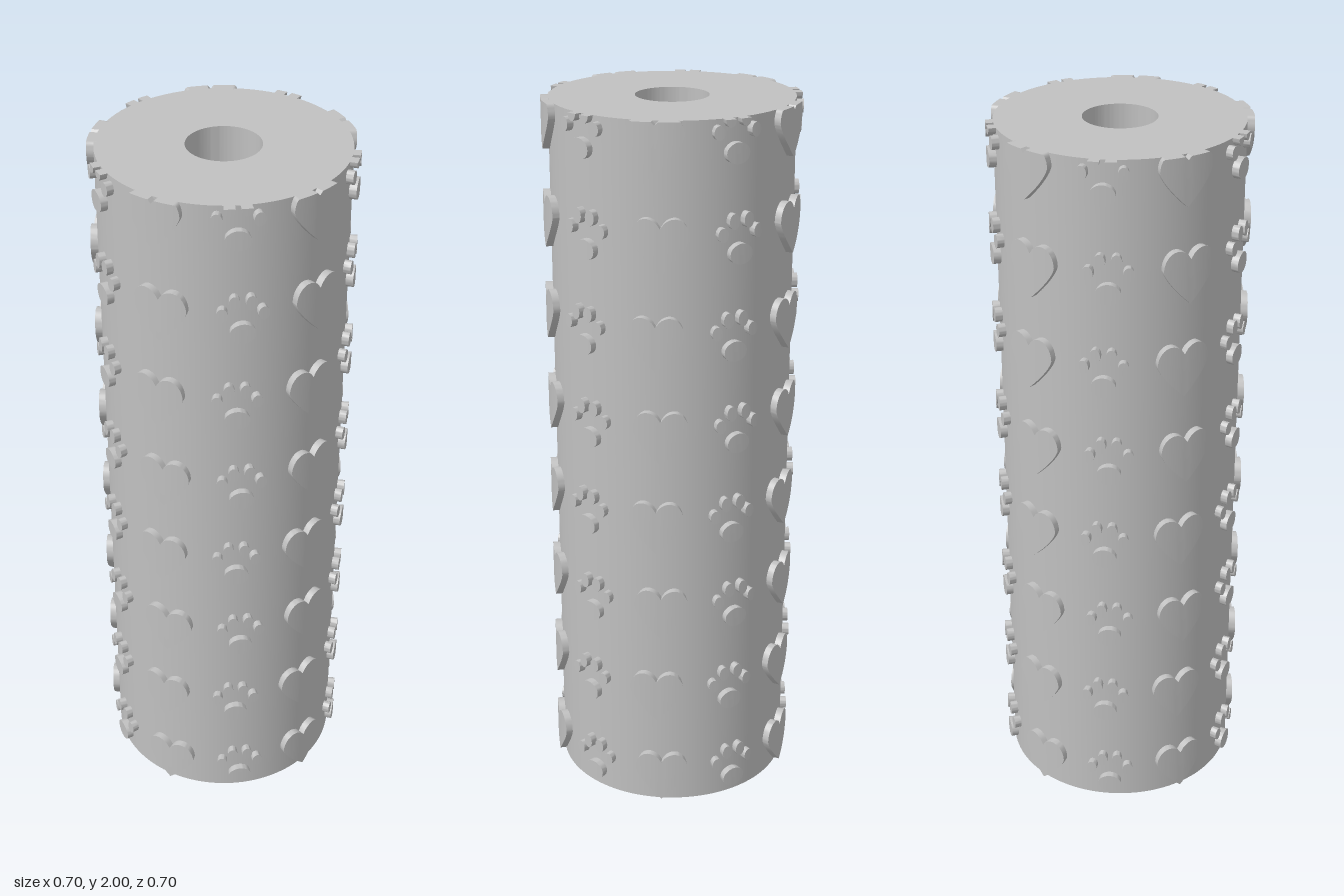
import * as THREE from 'three';
import { toCreasedNormals } from 'three/addons/utils/BufferGeometryUtils.js';

const R = 0.332, R_OUT = 0.352, R_IN = 0.325, HOLE = 0.1, HEIGHT = 2;
const ROWS = 8, COLUMNS = 10, ROW_STEP = 0.2655;

// Outlines: for u in -1..1 give the lower and upper height, in units of the relief's half height
const ellipse = (u) => {
  const h = Math.sqrt(Math.max(0, 1 - u * u));
  return [-h, h];
};
const padOutline = (u) => {
  const h = Math.pow(Math.max(0, 1 - u * u), 0.42);
  return [-h, h * (0.86 + 0.14 * Math.cos(u * Math.PI / 2))];
};
const heartOutline = (u) => {
  const a = Math.abs(u);
  const k = a > 0.5 ? (a - 0.5) / 0.5 : 0.88 * (0.5 - a) / 0.5;
  const top = 0.66 + 0.34 * Math.sqrt(Math.max(0, 1 - k * k));
  const bottom = 0.66 * (1 - Math.pow(1 - a, 0.72));
  return [bottom * 2 - 1, top * 2 - 1];
};

// A raised shape wrapped round the cylinder and cut off at its top end
function relief(outline, cx, cy, halfW, halfH, segments) {
  const geo = new THREE.BoxGeometry(2, 2, 2, segments, 1, 1);
  const p = geo.attributes.position;
  for (let i = 0; i < p.count; i++) {
    const u = Math.sin(p.getX(i) * Math.PI / 2);
    const [low, high] = outline(u);
    const y = Math.min(HEIGHT, cy + halfH * (p.getY(i) > 0 ? high : low));
    const r = p.getZ(i) > 0 ? R_OUT : R_IN;
    const angle = (cx + u * halfW) / R_OUT;
    p.setXYZ(i, r * Math.sin(angle), y, r * Math.cos(angle));
  }
  return toCreasedNormals(geo, 0.7);
}

export function createModel() {
  const model = new THREE.Group();
  model.name = 'patternRoller';
  const grey = new THREE.MeshStandardMaterial({ color: 0xc0c0c0 });
  grey.name = 'grey';

  const add = (parent, name, geo) => {
    const mesh = new THREE.Mesh(geo, grey);
    mesh.name = name;
    parent.add(mesh);
  };

  // Hollow cylinder
  const profile = [[HOLE, 0], [R, 0], [R, HEIGHT], [HOLE, HEIGHT], [HOLE, 0]]
    .map(([x, y]) => new THREE.Vector2(x, y));
  add(model, 'rollerBody', toCreasedNormals(new THREE.LatheGeometry(profile, 128), 0.7));

  // Paw print: one pad and four toes
  const paw = (y) => {
    const g = new THREE.Group();
    g.name = 'pawPrint';
    add(g, 'pad', relief(padOutline, 0, y + 0.054, 0.034, 0.028, 16));
    for (const s of [-1, 1]) {
      add(g, 'innerToe', relief(ellipse, s * 0.022, y + 0.142, 0.015, 0.021, 14));
      add(g, 'outerToe', relief(ellipse, s * 0.054, y + 0.109, 0.015, 0.019, 14));
    }
    return g;
  };

  // Heart
  const heart = (y) => {
    const g = new THREE.Group();
    g.name = 'heart';
    add(g, 'heartRelief', relief(heartOutline, 0, y + 0.084, 0.077, 0.075, 28));
    return g;
  };

  // Alternating columns; every second row is turned slightly
  for (let row = 0; row < ROWS; row++) {
    const offset = row % 2 ? -7.6 : -5.4;
    for (let col = 0; col < COLUMNS; col++) {
      const motif = (col % 2 ? heart : paw)(row * ROW_STEP);
      motif.rotation.y = THREE.MathUtils.degToRad(offset + col * 360 / COLUMNS);
      model.add(motif);
    }
  }
  return model;
}
